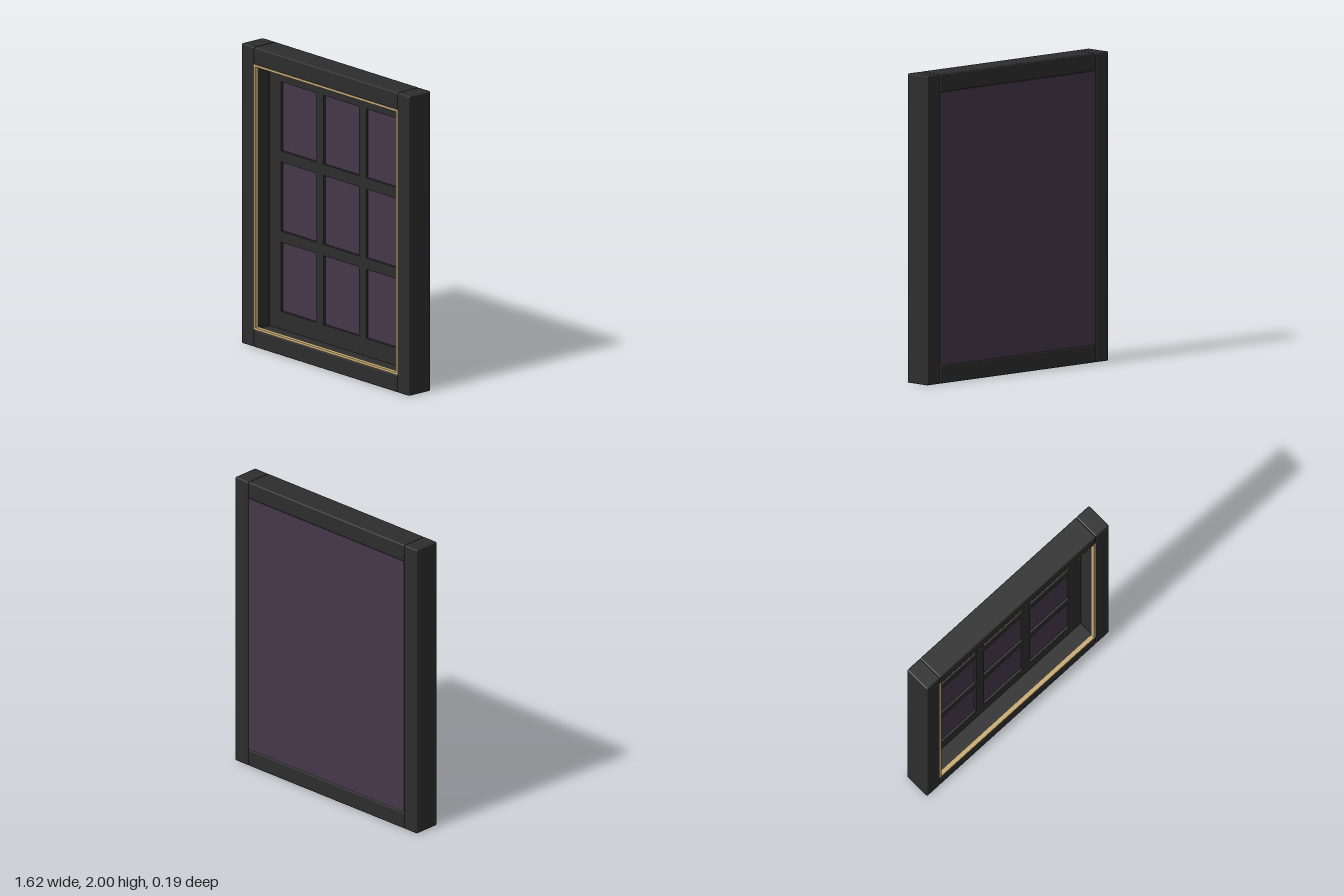
import * as THREE from 'three';
import { RoundedBoxGeometry } from 'three/addons/geometries/RoundedBoxGeometry.js';

const material = (name, color) => {
  const m = new THREE.MeshStandardMaterial({ color });
  m.name = name;
  return m;
};

const W = 1.616, H = 2, D = 0.186;        // overall size
const SIDE = 0.115;                       // width of the frame members
const IN_W = W - 2 * SIDE, IN_H = H - 2 * SIDE;

function rectangle(path, w, h, x = 0, y = 0) {
  path.moveTo(x - w / 2, y - h / 2);
  path.lineTo(x + w / 2, y - h / 2);
  path.lineTo(x + w / 2, y + h / 2);
  path.lineTo(x - w / 2, y + h / 2);
  path.closePath();
  return path;
}

// Flat plate with rectangular openings, centred on the frame
function plate(w, h, openings, back, front) {
  const shape = rectangle(new THREE.Shape(), w, h);
  for (const o of openings) shape.holes.push(rectangle(new THREE.Path(), ...o));
  const g = new THREE.ExtrudeGeometry(shape, { depth: front - back, bevelEnabled: false });
  return g.translate(0, H / 2, back);
}

export function createModel() {
  const charcoal = material('charcoal', 0x2d2d2d);
  const gold = material('gold', 0xc9ac74);
  const plum = material('plum', 0x44364a);

  const model = new THREE.Group();
  model.name = 'framedPanel';
  const add = (name, geometry, mat, x = 0, y = 0, z = 0) => {
    const mesh = new THREE.Mesh(geometry, mat);
    mesh.name = name;
    mesh.position.set(x, y, z);
    model.add(mesh);
  };

  // Outer frame: full-height stiles with rails between them
  const stile = new RoundedBoxGeometry(SIDE, H, D, 2, 0.009);
  const rail = new RoundedBoxGeometry(IN_W, SIDE, D, 2, 0.009);
  add('leftStile', stile, charcoal, (W - SIDE) / 2, H / 2);
  add('rightStile', stile, charcoal, -(W - SIDE) / 2, H / 2);
  add('topRail', rail, charcoal, 0, H - SIDE / 2);
  add('bottomRail', rail, charcoal, 0, SIDE / 2);

  // Gold lip lining the front opening
  const lip = 0.015;
  add('goldLip', plate(IN_W, IN_H, [[IN_W - 2 * lip, IN_H - 2 * lip]], 0.06, 0.09), gold);

  // Recessed mat with a three by three grid of openings
  const openings = [];
  for (let row = -1; row <= 1; row++)
    for (let col = -1; col <= 1; col++)
      openings.push([0.341, 0.461, col * 0.411, row * 0.535]);
  add('mat', plate(IN_W, IN_H, openings, -0.062, -0.046), charcoal);

  // Backing panel seen through the openings and from behind
  add('backingPanel', new THREE.BoxGeometry(IN_W, IN_H, 0.028), plum, 0, H / 2, -0.076);

  return model;
}
